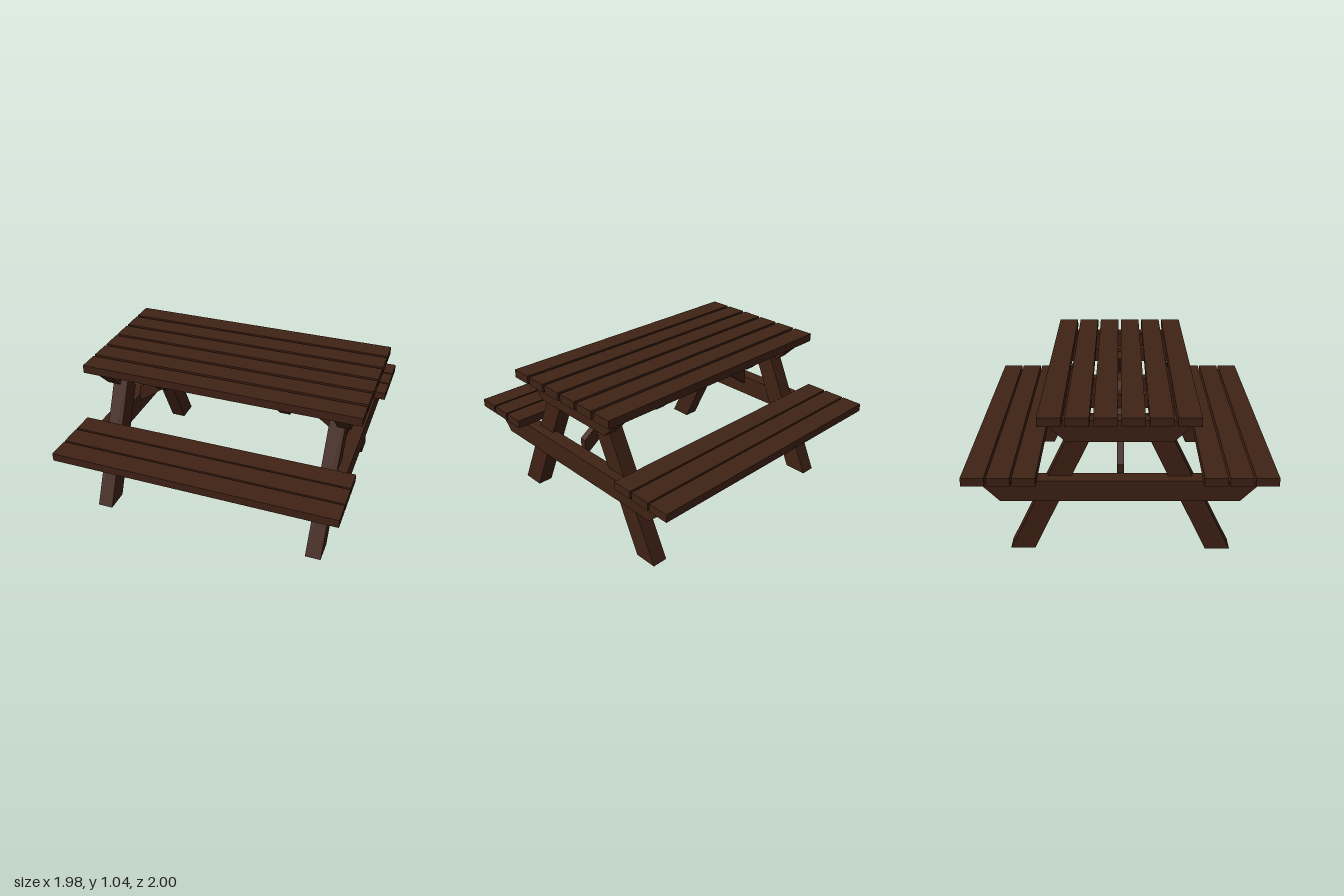
import * as THREE from 'three';

export function createModel() {
  const table = new THREE.Group();
  table.name = 'picnicTable';
  const wood = new THREE.MeshStandardMaterial({ color: 0x402215, flatShading: true });

  function add(name, geometry) {
    const mesh = new THREE.Mesh(geometry, wood);
    mesh.name = name;
    table.add(mesh);
    return mesh;
  }

  const shapeOf = (points) => new THREE.Shape(points.map(([a, b]) => new THREE.Vector2(a, b)));
  const extrude = (points, depth) =>
    new THREE.ExtrudeGeometry(shapeOf(points), { depth, bevelEnabled: false });

  // Side outline given as [z, y] points, extruded from x0 to x1
  const sideProfile = (points, x0, x1) =>
    extrude(points, x1 - x0).rotateY(-Math.PI / 2).translate(x1, 0, 0);

  // Beam with slanted ends: half lengths at bottom and top
  const beam = (bottom, top, y0, y1, x0, x1) =>
    sideProfile([[-bottom, y0], [bottom, y0], [top, y1], [-top, y1]], x0, x1);

  function plank(name, y0, y1, z) {
    add(name, new THREE.BoxGeometry(1.98, y1 - y0, 0.148)).position.set(0, (y0 + y1) / 2, z);
  }

  // Tabletop planks
  for (let i = 0; i < 6; i++) plank('tabletopPlank', 0.978, 1.037, (i - 2.5) * 0.1705 - 0.003);

  // Bench planks
  for (const side of [-1, 1])
    for (const z of [0.604, 0.765, 0.926]) plank('benchPlank', 0.565, 0.622, side * z);

  for (const side of [-1, 1]) {
    // Cross members at each end, and a batten under the tabletop
    const span = (a, b) => (side > 0 ? [a, b] : [-b, -a]);
    add('tabletopCleat', beam(0.337, 0.483, 0.83, 0.978, ...span(0.802, 0.897)));
    add('benchSupport', beam(0.772, 0.915, 0.416, 0.565, ...span(0.82, 0.92)));
    add('tabletopBatten', beam(0.37, 0.47, 0.877, 0.978, ...span(0.413, 0.487)));

    // Diagonal brace from the bench support up to the tabletop
    const brace = [[0.82, 0.505], [0.82, 0.628], [0.29, 1.0], [0.135, 1.0]]
      .map(([x, y]) => [side * x, y]);
    add('diagonalBrace', extrude(brace, 0.046).translate(0, 0, -0.02));

    // Splayed legs; one of each pair leans slightly inward at the foot
    for (const end of [-1, 1]) {
      const outline = [[0.738, 0], [0.274, 0.96], [0.126, 0.96], [0.574, 0]]
        .map(([z, y]) => [end * z, y]);
      const leg = sideProfile(outline, ...span(0.747, 0.857));
      if (side * end > 0) {
        const p = leg.attributes.position;
        for (let i = 0; i < p.count; i++)
          p.setX(i, p.getX(i) - side * 0.012 * (1 - p.getY(i) / 0.96));
        leg.computeVertexNormals();
      }
      add('leg', leg);
    }
  }
  return table;
}
